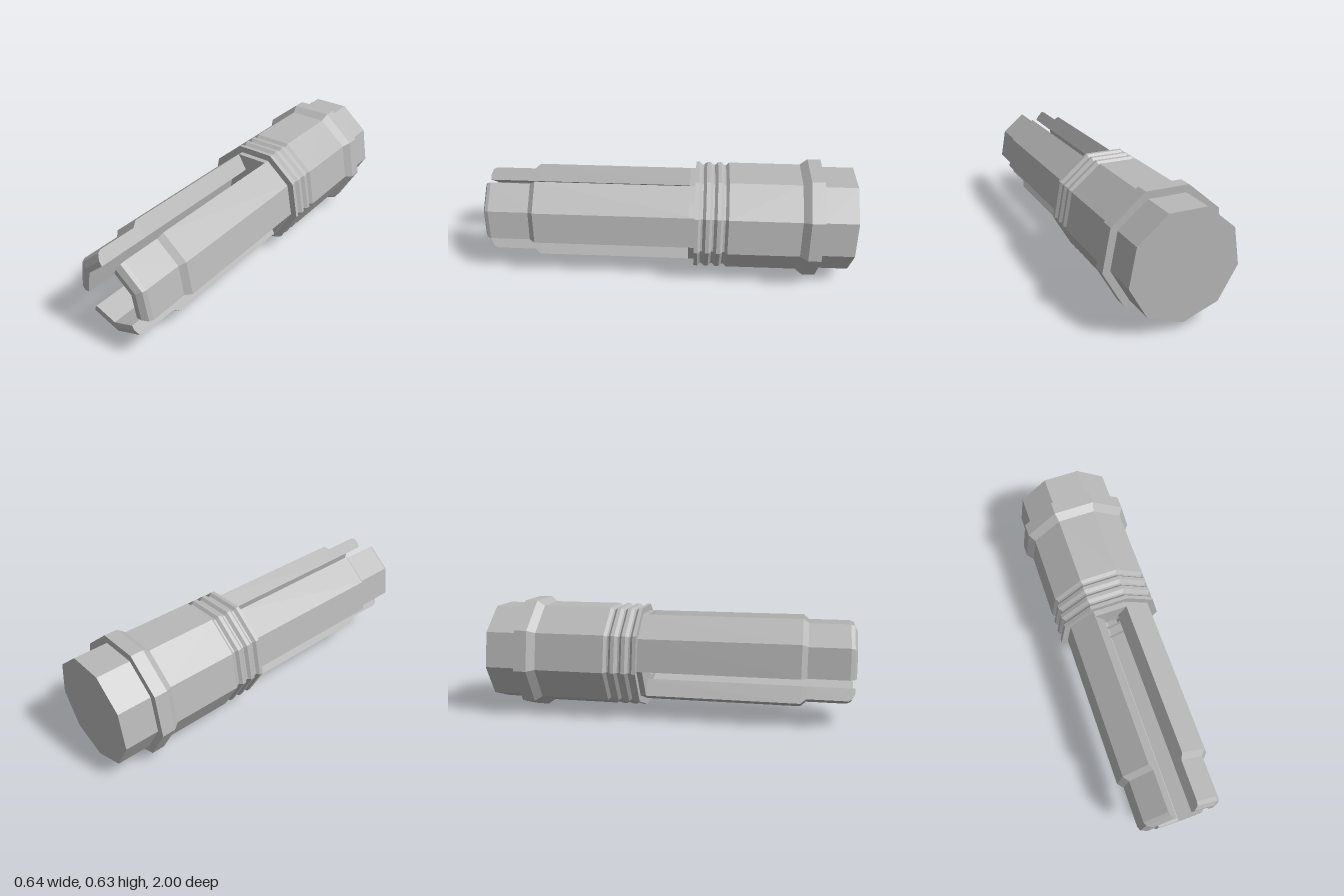
import * as THREE from 'three';

const SIDES = 9;
const AXIS_Y = 0.325;

const grey = new THREE.MeshStandardMaterial({ color: 0xb8b8b8 });
grey.name = 'plain grey';

// Faceted mesh with one normal per face
function facetedMesh(name, geometry) {
  const flat = geometry.index ? geometry.toNonIndexed() : geometry;
  flat.computeVertexNormals();
  const mesh = new THREE.Mesh(flat, grey);
  mesh.name = name;
  return mesh;
}

// Nine-sided turned part: profile of [radius, z] from back to front
function turned(name, profile) {
  const points = profile.map(([r, z]) => new THREE.Vector2(r, z));
  const geometry = new THREE.LatheGeometry(points, SIDES);
  geometry.rotateX(Math.PI / 2);
  return facetedMesh(name, geometry);
}

// One prong wraps two sides of the nonagon; lofted through sections along z
function prongGeometry() {
  const inner = 0.156;
  const stations = [[-0.16, 0.258], [0.72, 0.258], [0.75, 0.23], [0.965, 0.23], [0.985, 0.22], [1, 0.185]];
  const slope = Math.tan(Math.PI / 9);
  // Where the layer of middle radius r meets the slanted slot wall
  const corner = (r) => {
    const x = 0.166 - 0.049 * (0.2584 - r) / 0.1038;
    return [x, -r + x * slope];
  };
  const positions = [];
  for (const [z, outer] of stations) {
    const [ox, oy] = corner(outer);
    const [ix, iy] = corner(inner);
    // Counter-clockwise as seen from the front
    const loop = [[-ox, oy], [0, -outer], [ox, oy], [ix, iy], [0, -inner], [-ix, iy]];
    for (const [x, y] of loop) positions.push(x, y, z);
  }
  const index = [];
  const quad = (a, b, c, d) => index.push(a, b, c, a, c, d);
  for (let s = 0; s < stations.length - 1; s++) {
    for (let i = 0; i < 6; i++) {
      const j = (i + 1) % 6;
      quad(s * 6 + i, s * 6 + j, s * 6 + 6 + j, s * 6 + 6 + i);
    }
  }
  // End caps
  const t = (stations.length - 1) * 6;
  quad(t, t + 1, t + 4, t + 5);
  quad(t + 1, t + 2, t + 3, t + 4);
  quad(5, 4, 1, 0);
  quad(4, 3, 2, 1);
  const geometry = new THREE.BufferGeometry();
  geometry.setAttribute('position', new THREE.Float32BufferAttribute(positions, 3));
  geometry.setIndex(index);
  return geometry;
}

export function createModel() {
  const model = new THREE.Group();
  model.name = 'prongedCylinder';
  const body = new THREE.Group();
  body.name = 'body';
  body.position.y = AXIS_Y;
  model.add(body);

  // Rear plug and flange
  body.add(turned('rearPlug', [[0, -1], [0.285, -1], [0.285, -0.82]]));
  body.add(turned('flange', [[0.285, -0.82], [0.325, -0.82], [0.325, -0.75], [0.295, -0.71]]));

  // Housing
  body.add(turned('housing', [[0.295, -0.71], [0.295, -0.325]]));

  // Three grooves, each followed by a ridge
  const ridges = [[0.295, -0.325]];
  for (let i = 0; i < 3; i++) {
    const z = -0.325 + i * 0.06;
    ridges.push([0.28, z + 0.016], [0.28, z + 0.026], [0.295, z + 0.04], [0.295, z + 0.06]);
  }
  body.add(turned('ridges', ridges));

  // Front shoulder with a stepped socket in the middle
  body.add(turned('frontShoulder', [[0.295, -0.145], [0.258, -0.145], [0.258, -0.115], [0.118, -0.115]]));
  body.add(turned('socket', [[0.118, -0.115], [0.118, -0.16], [0.083, -0.16], [0.083, -0.25], [0, -0.25]]));

  // Three prongs around the axis
  for (let i = 0; i < 3; i++) {
    const prong = facetedMesh('prong' + (i + 1), prongGeometry());
    prong.rotation.z = (i * Math.PI * 2) / 3;
    body.add(prong);
  }
  return model;
}
